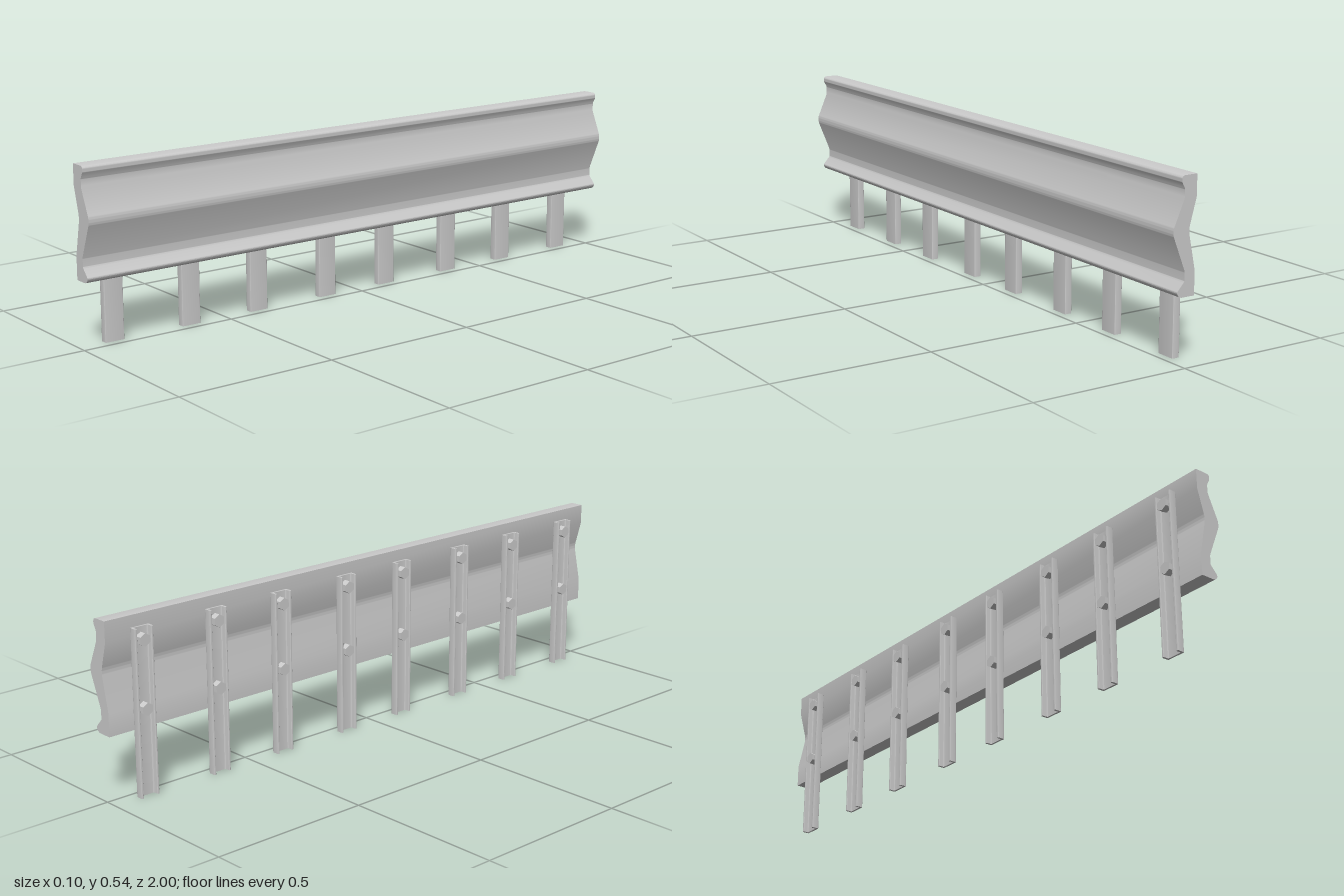
import * as THREE from 'three';
import { toCreasedNormals } from 'three/addons/utils/BufferGeometryUtils.js';

// Closed outline from [x, y, r] corners; each corner is rounded over distance r.
function roundedShape(corners) {
  const shape = new THREE.Shape();
  const n = corners.length;
  corners.forEach(([x, y, r = 0], i) => {
    const p = new THREE.Vector2(x, y);
    const toward = (c) => new THREE.Vector2(c[0], c[1]).sub(p).setLength(r).add(p);
    const a = toward(corners[(i + n - 1) % n]);
    const b = toward(corners[(i + 1) % n]);
    if (i === 0) shape.moveTo(a.x, a.y);
    else shape.lineTo(a.x, a.y);
    if (r > 0) shape.quadraticCurveTo(p.x, p.y, b.x, b.y);
  });
  shape.closePath();
  return shape;
}

function extrude(corners, depth, curveSegments = 5) {
  return new THREE.ExtrudeGeometry(roundedShape(corners), { depth, bevelEnabled: false, curveSegments });
}

export function createModel() {
  const model = new THREE.Group();
  model.name = 'guardRail';
  const grey = new THREE.MeshStandardMaterial({ color: 0xcccccc });
  const flatGrey = new THREE.MeshStandardMaterial({ color: 0xcccccc, flatShading: true });

  // Long corrugated rail, its profile swept along z
  const railGeometry = extrude([
    [-0.025, 0.202],
    [0.026, 0.202, 0.01],
    [0.036, 0.217, 0.008],
    [0.01, 0.245, 0.003],
    [0.01, 0.275, 0.005],
    [0.051, 0.376, 0.006],
    [0.051, 0.395, 0.006],
    [0.016, 0.475, 0.005],
    [0.016, 0.502, 0.003],
    [0.027, 0.522, 0.006],
    [0.025, 0.538, 0.009],
    [-0.025, 0.538],
    [-0.025, 0.475],
    [-0.003, 0.395, 0.006],
    [-0.003, 0.376, 0.006],
    [-0.025, 0.272],
  ], 2);
  railGeometry.translate(0, 0, -1);
  const rail = new THREE.Mesh(toCreasedNormals(railGeometry, 0.5), grey);
  rail.name = 'rail';
  model.add(rail);

  // Channel post: web against the rail, flanges pointing backwards
  const postGeometry = extrude([
    [-0.025, -0.031, 0.002],
    [-0.025, 0.031, 0.002],
    [-0.049, 0.031, 0.003],
    [-0.049, 0.024, 0.002],
    [-0.031, 0.024, 0.003],
    [-0.031, -0.024, 0.003],
    [-0.049, -0.024, 0.002],
    [-0.049, -0.031, 0.003],
  ], 0.502, 3);
  postGeometry.rotateX(-Math.PI / 2);
  const postSurface = toCreasedNormals(postGeometry, 0.6);

  // Hexagonal bolt head with a point upwards, axis along x
  const boltGeometry = new THREE.CylinderGeometry(0.0195, 0.0195, 0.022, 6);
  boltGeometry.rotateY(Math.PI / 2).rotateZ(Math.PI / 2);

  for (const side of [-1, 1]) {
    for (const offset of [0.118, 0.38, 0.624, 0.885]) {
      const support = new THREE.Group();
      support.name = 'support';
      support.position.z = side * offset;
      const post = new THREE.Mesh(postSurface, grey);
      post.name = 'post';
      support.add(post);
      for (const y of [0.263, 0.4665]) {
        const bolt = new THREE.Mesh(boltGeometry, flatGrey);
        bolt.name = 'bolt';
        bolt.position.set(-0.041, y, 0);
        support.add(bolt);
      }
      model.add(support);
    }
  }
  return model;
}
